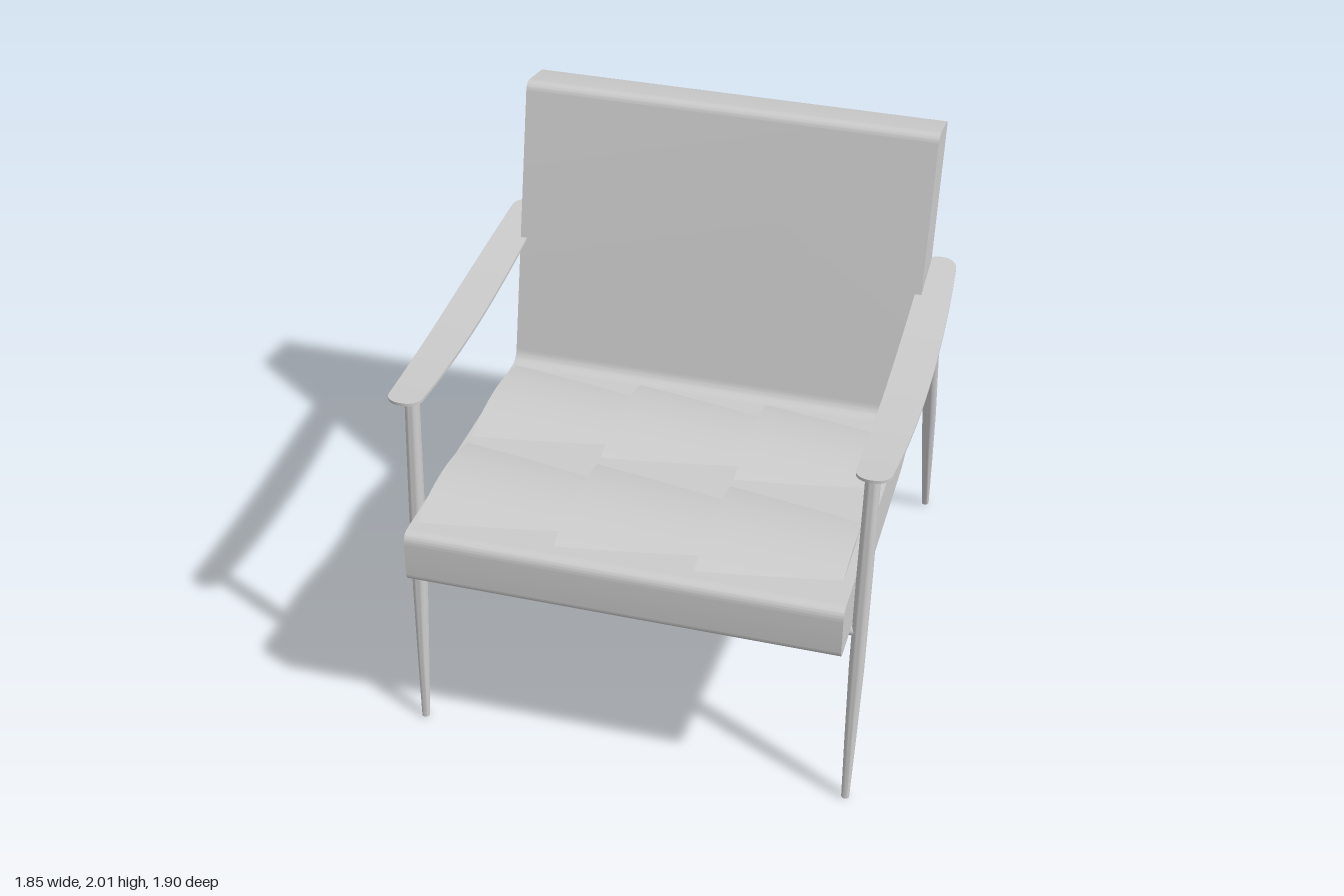
import * as THREE from 'three';
import { toCreasedNormals } from 'three/addons/utils/BufferGeometryUtils.js';

const grey = new THREE.MeshStandardMaterial({ color: 0xcccccc });
grey.name = 'lightGrey';

function addMesh(parent, name, geometry) {
  const mesh = new THREE.Mesh(geometry, grey);
  mesh.name = name;
  parent.add(mesh);
  return mesh;
}

// Moves every vertex of a geometry by a rule
function reshape(geometry, rule) {
  const pos = geometry.attributes.position;
  const v = new THREE.Vector3();
  for (let i = 0; i < pos.count; i++) {
    rule(v.fromBufferAttribute(pos, i));
    pos.setXYZ(i, v.x, v.y, v.z);
  }
  geometry.computeVertexNormals();
  return geometry;
}

// Closed outline from corners [z, y, rounding]
function roundedShape(corners) {
  const shape = new THREE.Shape();
  const n = corners.length;
  corners.forEach(([x, y, r], i) => {
    const c = new THREE.Vector2(x, y);
    const toward = ([px, py]) => new THREE.Vector2(px, py).sub(c).setLength(r).add(c);
    const a = toward(corners[(i + n - 1) % n]);
    const b = toward(corners[(i + 1) % n]);
    if (i === 0) shape.moveTo(a.x, a.y);
    else shape.lineTo(a.x, a.y);
    shape.quadraticCurveTo(c.x, c.y, b.x, b.y);
  });
  shape.closePath();
  return shape;
}

// L-shaped upholstered seat and back in one piece
function seatShell() {
  const shape = roundedShape([
    [0.94, 1.012, 0.045], [-0.313, 0.904, 0.05], [-0.612, 2.012, 0.04],
    [-0.82, 1.962, 0.03], [-0.474, 0.683, 0.25], [0.953, 0.803, 0.035],
  ]);
  const g = new THREE.ExtrudeGeometry(shape, { depth: 1.6, bevelEnabled: false, curveSegments: 14 });
  g.translate(0, 0, -0.8);
  g.rotateY(-Math.PI / 2);
  return toCreasedNormals(g, 0.5);
}

const seatTop = (z) => 1.012 - 0.086 * (0.94 - z);

// Arched pad, tallest along its -x edge and falling toward +x
function pad(x0, zMid) {
  const half = 0.27;
  return reshape(new THREE.BoxGeometry(1, 1, 1, 10, 1, 24), (v) => {
    const u = v.x + 0.5;
    const w = v.z * 2;
    const z = zMid + w * half;
    const rise = 0.045 * (1 - w * w) - 0.026 * u;
    v.set(x0 + u * 0.515, seatTop(z) + (v.y > 0 ? rise : -0.04), z);
  });
}

// Thin bowed armrest: straight inner edge, swelling outer edge, rounded ends
function armrest() {
  const end = 0.055;
  return reshape(new THREE.BoxGeometry(1, 1, 1, 2, 1, 48), (v) => {
    const s = Math.sin(v.z * Math.PI);
    const z = 0.035 + 0.735 * s;
    const k = Math.max(0, 1 - (0.735 * (1 - Math.abs(s))) / end);
    const inset = end * (1 - Math.sqrt(Math.max(0, 1 - k * k)));
    const inner = 0.775 + inset;
    const outer = 0.925 - 0.028 * s * s - inset;
    const sag = z > 0 ? 0.128 : 0.07;
    const y = 1.387 + sag * z * z;
    v.set(inner + (v.x + 0.5) * (outer - inner), y + v.y * 0.012, z);
  });
}

// Tapered round leg from foot to top
function leg(parent, name, foot, top) {
  const dir = top.clone().sub(foot);
  const len = dir.length();
  const profile = [[0, 0], [0.015, 0], [0.022, 0.2], [0.028, 0.42], [0.029, 0.7], [0.027, 1], [0, 1]]
    .map(([r, t]) => new THREE.Vector2(r, t * len));
  const mesh = addMesh(parent, name, toCreasedNormals(new THREE.LatheGeometry(profile, 24), 0.6));
  mesh.position.copy(foot);
  mesh.quaternion.setFromUnitVectors(new THREE.Vector3(0, 1, 0), dir.normalize());
}

// Round bar across the chair
function crossbar(parent, name, y, z, r) {
  const g = new THREE.CylinderGeometry(r, r, 1.64, 20);
  g.rotateZ(Math.PI / 2);
  addMesh(parent, name, g).position.set(0, y, z);
}

export function createModel() {
  const chair = new THREE.Group();
  chair.name = 'armchair';

  addMesh(chair, 'seatAndBack', seatShell());

  // Two rows of three pads
  const pads = new THREE.Group();
  pads.name = 'seatPads';
  chair.add(pads);
  for (const zMid of [0.585, 0]) {
    for (let i = 0; i < 3; i++) addMesh(pads, 'seatPad', pad(-0.782 + i * 0.515, zMid));
  }

  // Legs and armrests on both sides
  for (const side of [1, -1]) {
    const label = side > 0 ? 'left' : 'right';
    const x = side * 0.83;
    leg(chair, label + 'FrontLeg', new THREE.Vector3(x, 0.003, 0.84), new THREE.Vector3(x, 1.44, 0.677));
    leg(chair, label + 'RearLeg', new THREE.Vector3(x, 0.003, -0.93), new THREE.Vector3(x, 1.408, -0.588));
    const arm = addMesh(chair, label + 'Armrest', armrest());
    arm.scale.x = side;
  }

  crossbar(chair, 'frontCrossbar', 0.766, 0.755, 0.02);
  crossbar(chair, 'rearCrossbar', 1.19, -0.641, 0.022);
  return chair;
}
